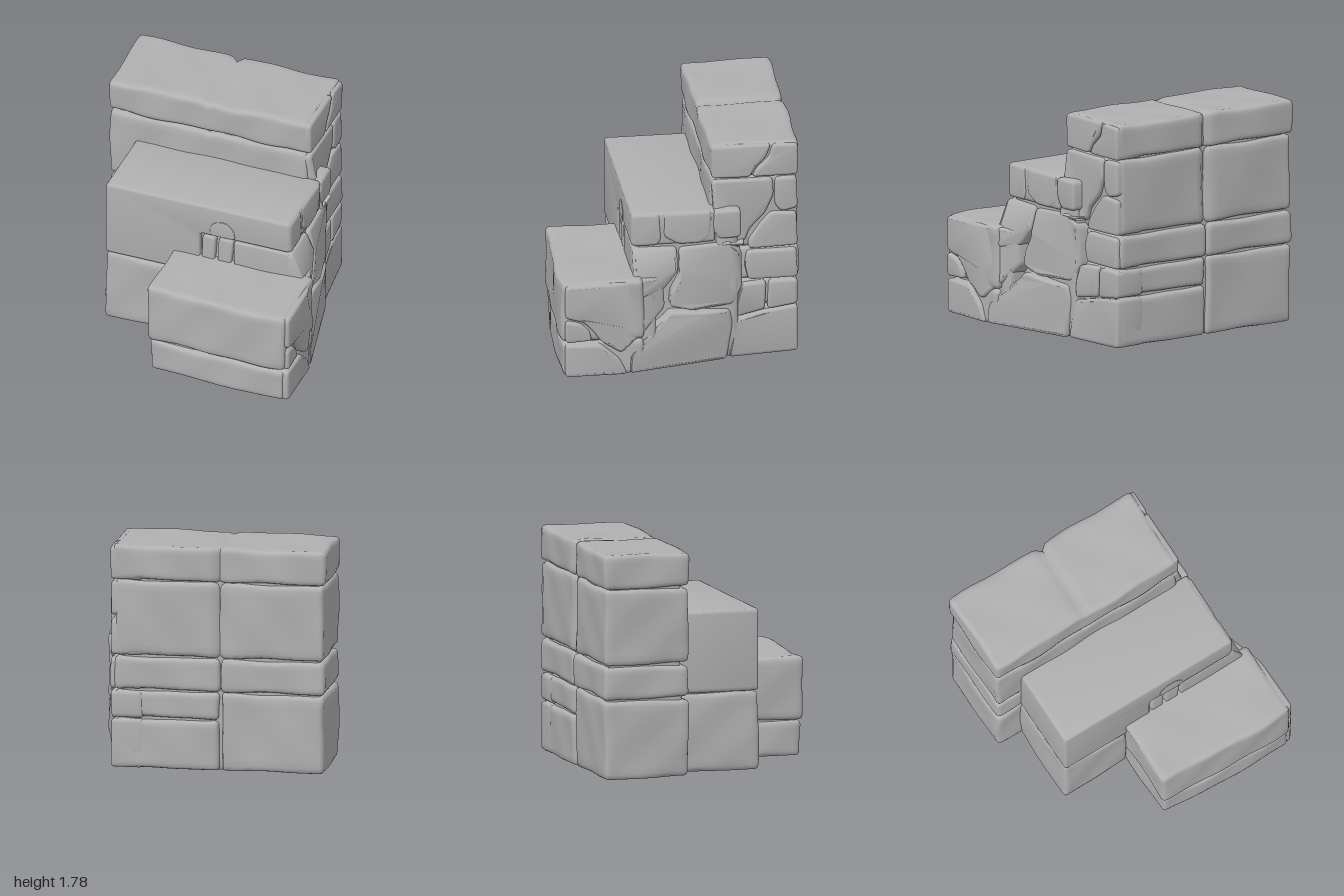
import * as THREE from 'three';
import { toCreasedNormals } from 'three/addons/utils/BufferGeometryUtils.js';

const stoneGrey = new THREE.MeshStandardMaterial({ color: 0xb0b0b0 });
stoneGrey.name = 'stone grey';

// gentle unevenness shared by all blocks
const wave = (a, b) => 0.006 * Math.sin(a * 7 + b * 4) + 0.004 * Math.sin(a * 13 - b * 11 + 1);

// move every vertex by a rule, then smooth the soft edges
function finish(group, name, geometry, rule, crease) {
  const p = geometry.attributes.position;
  const v = new THREE.Vector3();
  for (let i = 0; i < p.count; i++) {
    v.fromBufferAttribute(p, i);
    rule(v);
    v.y = Math.max(v.y, 0);
    p.setXYZ(i, v.x, v.y, v.z);
  }
  const mesh = new THREE.Mesh(toCreasedNormals(geometry, crease), stoneGrey);
  mesh.name = name;
  group.add(mesh);
}

// worn box with rounded edges, given by its limits; extra is an optional further rule
function block(group, name, [x0, x1], [y0, y1], [z0, z1], extra) {
  const r = 0.035;
  const half = new THREE.Vector3(x1 - x0, y1 - y0, z1 - z0).multiplyScalar(0.5);
  const mid = new THREE.Vector3(x0 + x1, y0 + y1, z0 + z1).multiplyScalar(0.5);
  const inner = half.clone().subScalar(r);
  const geometry = new THREE.BoxGeometry(2, 2, 2, half.x > 0.7 ? 60 : 24, 12, 14);
  finish(group, name, geometry, (v) => {
    // crowd the rows towards the edges, then round them
    for (const k of ['x', 'y', 'z']) v[k] = Math.sin(v[k] * Math.PI / 2) * half[k];
    const c = v.clone().clamp(inner.clone().negate(), inner);
    v.sub(c).normalize().multiplyScalar(r).add(c);
    const s = v.clone().divide(half);
    v.add(mid);
    const { x, y, z } = v;
    v.x += s.x * wave(y, z);
    v.y += s.y * wave(x, z) * 0.8;
    v.z += s.z * wave(x, y);
    if (extra) extra(v, s);
  }, 0.9);
}

// outline with softened corners
function roundedShape(points) {
  const shape = new THREE.Shape();
  const pts = points.map(([a, b]) => new THREE.Vector2(a, b));
  if (THREE.ShapeUtils.area(pts) < 0) pts.reverse();
  pts.forEach((p, i) => {
    const near = (q) => p.clone().lerp(q, Math.min(0.35, 0.035 / p.distanceTo(q)));
    const a = near(pts[(i + pts.length - 1) % pts.length]);
    const b = near(pts[(i + 1) % pts.length]);
    if (i) shape.lineTo(a.x, a.y); else shape.moveTo(a.x, a.y);
    shape.quadraticCurveTo(p.x, p.y, b.x, b.y);
  });
  shape.closePath();
  return shape;
}

function slab(points, depth, bevel) {
  const geometry = new THREE.ExtrudeGeometry(roundedShape(points), {
    depth: depth - 2 * bevel, curveSegments: 4, bevelSegments: 3,
    bevelSize: bevel, bevelThickness: bevel, bevelOffset: -bevel,
  });
  return geometry.translate(0, 0, bevel - depth);
}

// outer face of the right-hand wall: it flares towards the foot and the front
const FLARE = [[-0.96, 0.7], [-0.55, 0.71], [-0.3, 0.82], [0.12, 0.86], [0.4, 0.965], [0.6, 0.985], [0.96, 0.98]];
function wall(z, y) {
  let low = z < 0 ? 0.7 : 0.98;
  for (let i = 1; i < FLARE.length; i++) {
    const [za, xa] = FLARE[i - 1], [zb, xb] = FLARE[i];
    if (z >= za && z <= zb) low = THREE.MathUtils.mapLinear(z, za, zb, xa, xb);
  }
  const high = z < -0.515 || y > 1.29 ? 0.7 : 0.785;
  return THREE.MathUtils.lerp(low, high, THREE.MathUtils.smoothstep(y, 0.79, 1.0));
}

// outlines of the side stones as [z, y]
const SIDE = {
  topStone: [[[-.27, 1.77], [-.74, 1.77], [-.70, 1.66], [-.61, 1.57], [-.57, 1.5], [-.27, 1.5]],
    [[-.75, 1.77], [-.95, 1.765], [-.95, 1.5], [-.59, 1.5], [-.62, 1.57], [-.72, 1.66]]],
  upperStone: [[[-.27, 1.48], [-.75, 1.485], [-.76, 1.34], [-.69, 1.18], [-.57, 1.06], [-.53, .95], [-.3, .95]],
    [[-.77, 1.48], [-.94, 1.485], [-.95, 1.22], [-.82, 1.19], [-.77, 1.25]],
    [[-.74, 1.19], [-.94, 1.18], [-.95, .9], [-.56, .89], [-.56, .96], [-.65, 1.09]]],
  backStone: [[[-.55, .87], [-.94, .875], [-.95, .63], [-.56, .63], [-.53, .75]],
    [[-.5, .6], [-.7, .61], [-.69, .37], [-.46, .33], [-.46, .45]],
    [[-.72, .61], [-.95, .61], [-.95, .4], [-.71, .37]],
    [[-.4, 0], [-.95, 0], [-.95, .39], [-.7, .36], [-.45, .31]]],
  middleStone: [[[.37, 1.262], [.15, 1.265], [.14, 1.05], [.17, 1], [.37, 1]],
    [[.12, 1.265], [-.26, 1.265], [-.25, 1.05], [-.18, 1], [0, 1], [.12, 1.07]],
    [[-.275, 1.265], [-.49, 1.265], [-.49, 1.03], [-.32, 1.02], [-.27, 1.1]],
    [[.37, .985], [.02, .98], [.01, .8], [.12, .66], [.37, .6]],
    [[0, .97], [-.4, .99], [-.5, .9], [-.51, .6], [-.44, .46], [-.1, .45], [.08, .5], [.07, .62], [0, .75]],
    [[.41, 0], [-.38, 0], [-.43, .3], [-.4, .42], [-.18, .43], [.08, .45], [.12, .4], [.3, .25], [.4, .15]]],
  frontStone: [[[.92, .77], [.5, .775], [.14, .77], [.12, .5], [.28, .34], [.48, .18], [.64, .29], [.71, .39], [.78, .46], [.92, .5]],
    [[.92, .48], [.8, .45], [.73, .38], [.71, .3], [.92, .29]],
    [[.92, .27], [.64, .265], [.49, .13], [.43, 0], [.92, 0]]],
};

export function createModel() {
  const model = new THREE.Group();
  model.name = 'stoneSteps';

  // hidden fill seen only at the bottom of the joints
  block(model, 'middleCore', [-0.74, 0.755], [0, 1.24], [-0.47, 0.33]);
  block(model, 'frontCore', [-0.17, 0.9], [0, 0.74], [0.2, 0.88]);
  block(model, 'backCore', [-0.95, 0.63], [0, 1.72], [-0.91, -0.31]);

  // back tier: two long courses with a joint worn into the rear
  const rearJoint = (v, s) => {
    const g = Math.exp(-(((v.x + 0.17) / 0.03) ** 2));
    if (s.z < -0.5) v.z += 0.045 * g;
    if (s.y > 0.8) v.y -= 0.018 * g;
  };
  block(model, 'backTopCourse', [-1, 0.675], [1.505, 1.775], [-0.96, -0.26], rearJoint);
  block(model, 'backUpperCourse', [-0.99, 0.665], [0.9, 1.495], [-0.95, -0.26], rearJoint);

  // back tier: lower courses in two halves
  [['backLeftBlock', [-0.16, 0.665], [[0.63, 0.885], [0.405, 0.615], [0, 0.39]]],
    ['backRightBlock', [-0.99, -0.18], [[0.63, 0.885], [0, 0.615]]]].forEach(([name, x, rows]) =>
    rows.forEach((y, i) => block(model, name + (i + 1), x, y, [-0.955 + 0.01 * (i % 2), -0.265])));

  // middle tier: stepped capstone over a plain lower block
  const cap = [[-0.77, 0.62], [0.02, 0.62], [0.02, 1.0], [0.78, 1.0], [0.78, 1.27], [-0.77, 1.27]];
  finish(model, 'middleCapstone', slab(cap, 0.66, 0.022), (v) => {
    v.z += 0.375;
  }, 0.6);
  block(model, 'middleLowerBlock', [-0.775, -0.19], [0, 0.612], [-0.3, 0.375]);

  // small facing stones of the middle tier
  [[[0.31, 0.6], [0.765, 0.6], [0.77, 0.985], [0.3, 0.985]],
    [[0.03, 0.6], [0.13, 0.6], [0.15, 0.985], [0.04, 0.985]],
    [[0.16, 0.6], [0.26, 0.6], [0.3, 0.985], [0.175, 0.985]]].forEach((outline, i) =>
    finish(model, 'facingStone' + (i + 1), slab(outline, 0.2, 0.014), (v) => { v.z += 0.37; }, 0.6));
  const arch = [[0.11, 1.01], [0.32, 1.01], [0.31, 1.09], [0.25, 1.15], [0.17, 1.15], [0.11, 1.1]];
  finish(model, 'archStone', slab(arch, 0.05, 0.004), (v) => { v.z += 0.379; }, 0.6);

  // front tier: two courses with a slightly bowed face
  const bow = (v, s) => { if (s.z > 0) v.z += 0.04 * s.z * Math.sin((v.x + 0.2) * 1.9) ** 2; };
  block(model, 'frontTopCourse', [-0.205, 0.95], [0.287, 0.78], [0.3, 0.915], bow);
  block(model, 'frontBottomCourse', [-0.195, 0.945], [0, 0.272], [0.3, 0.905], bow);

  // irregular stones of the right-hand wall
  for (const [name, outlines] of Object.entries(SIDE)) {
    outlines.forEach((outline, i) => {
      const geometry = slab(outline.map(([z, y]) => [-z, y]), 0.25, 0.022).rotateY(Math.PI / 2);
      finish(model, name + (i + 1), geometry, (v) => { v.x += wall(v.z, v.y) + wave(v.y, v.z) * 0.6; }, 0.6);
    });
  }
  return model;
}
